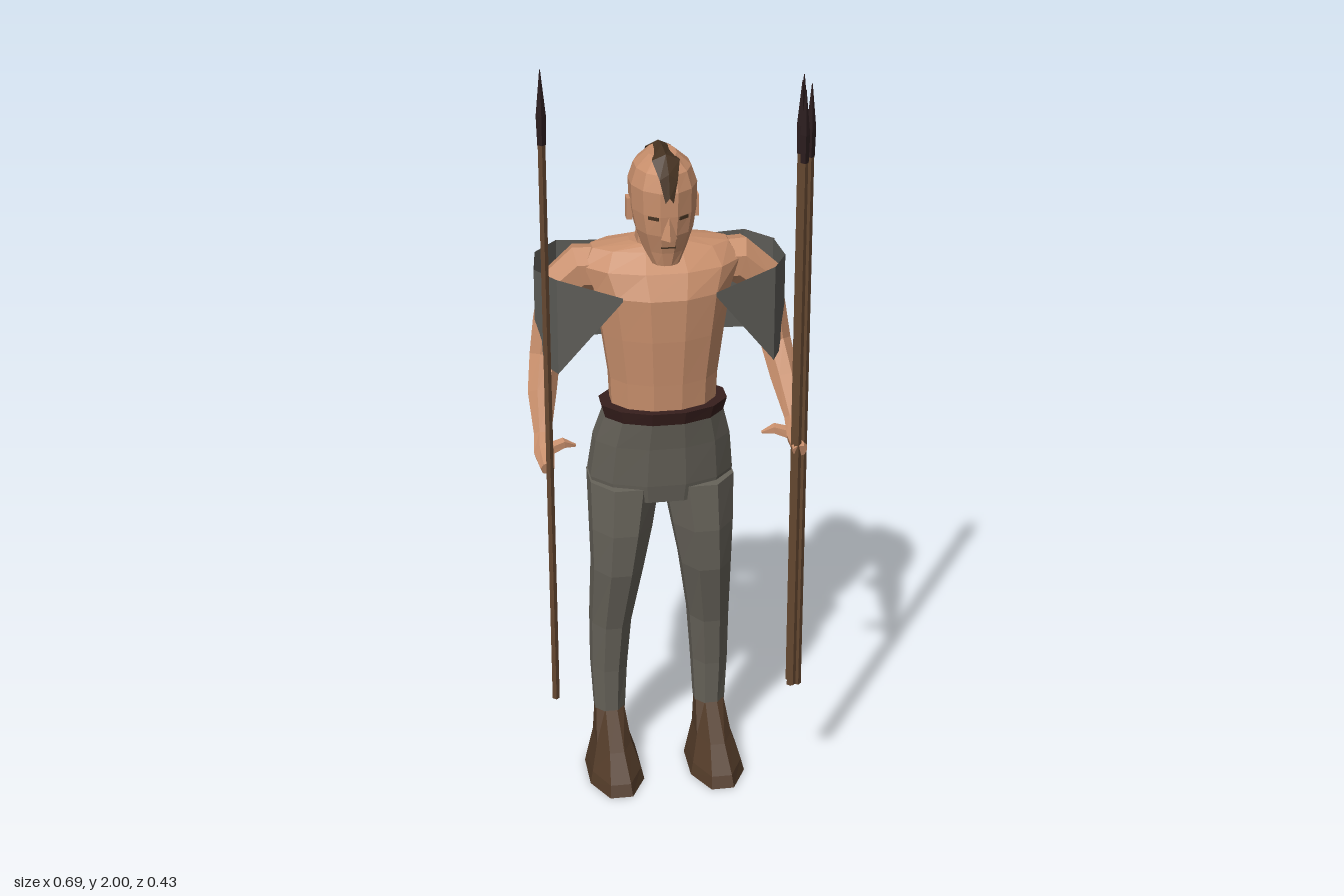
import * as THREE from 'three';

const mat = (name, color, extra = {}) => {
  const m = new THREE.MeshStandardMaterial({ color, flatShading: true, ...extra });
  m.name = name;
  return m;
};

// Low-poly loft: each ring is [x, y, z, radiusSide, radiusFront], set square to the path.
// level keeps rings horizontal; pick(ring, segment) chooses a material index per face.
function loft(rings, n, { level = false, offset = 0.5, pick = null } = {}) {
  const centres = rings.map(r => new THREE.Vector3(r[0], r[1], r[2]));
  const loops = rings.map((r, k) => {
    const t = level ? new THREE.Vector3(0, 1, 0)
      : centres[Math.min(k + 1, rings.length - 1)].clone().sub(centres[Math.max(k - 1, 0)]).normalize();
    const f = new THREE.Vector3(0, 0, 1).addScaledVector(t, -t.z).normalize();
    const s = t.clone().cross(f);
    return Array.from({ length: n }, (_, i) => {
      const a = (i - offset) / n * Math.PI * 2;
      return centres[k].clone().addScaledVector(s, r[3] * Math.sin(a)).addScaledVector(f, (r[4] ?? r[3]) * Math.cos(a));
    });
  });
  const pos = [], geo = new THREE.BufferGeometry();
  const tri = (a, b, c, m = 0) => {
    if (pick) geo.addGroup(pos.length / 3, 3, m);
    for (const p of [a, b, c]) pos.push(p.x, p.y, p.z);
  };
  const last = rings.length - 1;
  for (let i = 0; i < n; i++) {
    const j = (i + 1) % n;
    for (let k = 0; k < last; k++) {
      const m = pick ? pick(k, i) : 0;
      tri(loops[k][i], loops[k][j], loops[k + 1][j], m);
      tri(loops[k][i], loops[k + 1][j], loops[k + 1][i], m);
    }
    tri(loops[0][j], loops[0][i], centres[0]);
    tri(loops[last][i], loops[last][j], centres[last]);
  }
  return finish(geo, pos);
}

function finish(geo, pos) {
  geo.setAttribute('position', new THREE.Float32BufferAttribute(pos, 3));
  geo.computeVertexNormals();
  return geo;
}

// Open sheet joining two rows of points
function sheet(rowA, rowB) {
  const pos = [];
  for (let i = 0; i < rowA.length - 1; i++) {
    pos.push(...rowA[i], ...rowB[i], ...rowB[i + 1], ...rowA[i], ...rowB[i + 1], ...rowA[i + 1]);
  }
  return finish(new THREE.BufferGeometry(), pos);
}

export function createModel() {
  const root = new THREE.Group();
  const skin = mat('skin', 0xc88f6c);
  const cloth = mat('trouser cloth', 0x67635a);
  const wrap = mat('shoulder wrap grey', 0x5d5c57, { side: THREE.DoubleSide });
  const patchBrown = mat('patch brown', 0x4a352a, { side: THREE.DoubleSide });
  const boot = mat('boot leather', 0x503927);
  const beltMat = mat('belt leather', 0x371f1d);
  const wood = mat('spear wood', 0x644730);
  const iron = mat('spear tip', 0x2b1d1e);
  const hair = mat('hair', 0x463322, { side: THREE.DoubleSide });

  const add = (name, geo, material, parent = root) => {
    const m = new THREE.Mesh(geo, material);
    m.name = name;
    parent.add(m);
    return m;
  };
  const level = { level: true };

  // Torso and neck
  add('torso', loft([
    [0, 1.04, -0.02, 0.135, 0.092], [0, 1.15, -0.02, 0.14, 0.098], [0, 1.27, -0.025, 0.157, 0.112],
    [0, 1.38, -0.032, 0.175, 0.122], [0, 1.44, -0.05, 0.2, 0.11], [0, 1.48, -0.065, 0.175, 0.075],
    [0, 1.495, -0.06, 0.08, 0.055]], 12, level), skin);
  add('neck', loft([[0, 1.43, -0.06, 0.085, 0.062], [0, 1.48, -0.05, 0.068, 0.062],
    [0, 1.57, -0.045, 0.055, 0.06]], 8, level), skin);

  // Head, with hair patches behind the ears
  const head = new THREE.Group();
  head.name = 'head';
  root.add(head);
  add('skull', loft([
    [0, 1.465, 0.03, 0.035, 0.035], [0, 1.5, 0.005, 0.055, 0.067], [0, 1.55, 0, 0.072, 0.087],
    [0, 1.6, -0.015, 0.082, 0.107], [0, 1.66, -0.02, 0.084, 0.112], [0, 1.7, -0.022, 0.07, 0.098],
    [0, 1.73, -0.025, 0.035, 0.06]], 12,
    { level: true, pick: (k, i) => ((k === 2 || k === 3) && (i === 4 || i === 8) ? 1 : 0) }), [skin, hair], head);
  const strip = [[0.094, 1.645, 0.01], [0.08, 1.7, 0.022], [0.035, 1.735, 0.034], [-0.03, 1.738, 0.018],
    [-0.085, 1.73, 0.032], [-0.128, 1.69, 0.03], [-0.14, 1.63, 0.012]];
  const ridge = strip.map(([z, y]) => [0, y + 0.006, z * 1.02]);
  for (const s of [1, -1]) {
    const edge = strip.map(([z, y, w]) => [s * w, y - 0.008, z]);
    add('hairCrest', s > 0 ? sheet(ridge, edge) : sheet(edge, ridge), hair, head);
    // Eyes and ears
    const eye = add('eye', new THREE.BoxGeometry(0.028, 0.008, 0.006), hair, head);
    eye.position.set(s * 0.036, 1.595, 0.077);
    eye.rotation.y = s * 0.64;
    const ear = add('ear', new THREE.BoxGeometry(0.014, 0.055, 0.03), skin, head);
    ear.position.set(s * 0.082, 1.59, -0.025);
  }
  const nose = add('nose', new THREE.ConeGeometry(0.02, 0.065, 4), skin, head);
  nose.position.set(0, 1.575, 0.086);
  const mouth = add('mouth', new THREE.BoxGeometry(0.036, 0.005, 0.006), hair, head);
  mouth.position.set(0, 1.517, 0.072);

  // Belt and hips
  add('belt', loft([[0, 1.045, -0.015, 0.155, 0.1], [0, 1.08, -0.015, 0.165, 0.11]], 12, level), beltMat);
  add('hips', loft([[0, 0.81, -0.06, 0.175, 0.105], [0, 0.86, -0.065, 0.19, 0.12],
    [0, 0.97, -0.04, 0.178, 0.108], [0, 1.055, -0.015, 0.155, 0.098]], 12, level), cloth);

  for (const s of [1, -1]) {
    const side = s > 0 ? 'left' : 'right';
    // Leg, ankle and boot
    add(side + 'TrouserLeg', loft([
      [s * 0.135, 0.15, -0.08, 0.043, 0.05], [s * 0.135, 0.28, -0.087, 0.05, 0.066],
      [s * 0.13, 0.42, -0.082, 0.056, 0.08], [s * 0.115, 0.6, -0.048, 0.07, 0.094],
      [s * 0.105, 0.72, -0.05, 0.084, 0.108], [s * 0.095, 0.85, -0.063, 0.097, 0.118]], 8, level), cloth);
    add(side + 'Ankle', loft([[s * 0.135, 0.1, -0.085, 0.035, 0.04], [s * 0.135, 0.2, -0.088, 0.036, 0.045]], 6, level), skin);
    add(side + 'Boot', loft([
      [s * 0.135, 0, 0.012, 0.078, 0.15], [s * 0.135, 0.03, 0.005, 0.07, 0.142],
      [s * 0.135, 0.085, -0.03, 0.05, 0.105], [s * 0.135, 0.16, -0.083, 0.04, 0.046]], 8, level), boot);

    // Arm running from the shoulder to a closed hand, and the thumb
    add(side + 'Arm', loft([
      [s * 0.1, 1.42, -0.065, 0.058], [s * 0.2, 1.42, -0.075, 0.062], [s * 0.253, 1.375, -0.073, 0.056],
      [s * 0.275, 1.29, -0.066, 0.046], [s * 0.293, 1.2, -0.05, 0.04], [s * 0.308, 1.12, 0.005, 0.037],
      [s * 0.316, 1.04, 0.075, 0.022], [s * 0.317, 1.01, 0.12, 0.026], [s * 0.315, 0.995, 0.175, 0.018]], 7), skin);
    add(side + 'Thumb', loft([[s * 0.315, 1.005, 0.1, 0.018], [s * 0.265, 1.02, 0.09, 0.014],
      [s * 0.235, 1.01, 0.087, 0.004]], 5), skin);
  }

  // Shoulder wrap: columns of [x, top, bottom, z] from front flap to the middle of the back
  const half = [[0.115, 1.4, 1.39, 0.095], [0.27, 1.44, 1.19, 0.05], [0.315, 1.43, 1.19, -0.05],
    [0.302, 1.44, 1.18, -0.14], [0.24, 1.44, 1.17, -0.212], [0.085, 1.43, 1.175, -0.215]];
  const cols = [...half, [0, 1.42, 1.18, -0.178], ...half.slice().reverse().map(([x, ...r]) => [-x, ...r])];
  add('shoulderWrap', sheet(cols.map(c => [c[0], c[1], c[3]]), cols.map(c => [c[0], c[2], c[3]])), wrap);
  add('wrapPatch', finish(new THREE.BufferGeometry(),
    [0.306, 1.438, -0.142, 0.243, 1.438, -0.216, 0.272, 1.24, -0.18]), patchBrown);

  // Spears: one in the right hand, a bundle of four in the left
  const spear = (name, x, y0, z0, y1, z1) => {
    const g = new THREE.Group();
    g.name = name;
    root.add(g);
    const at = (y, r) => [x, y, z0 + (z1 - z0) * (y - y0) / (y1 - y0), r];
    add('shaft', loft([at(y0, 0.009), at(y1 - 0.17, 0.009)], 4, { offset: 0 }), wood, g);
    add('spearTip', loft([at(y1 - 0.18, 0.01), at(y1 - 0.11, 0.012), at(y1, 0.001)], 4, { offset: 0 }), iron, g);
  };
  spear('rightSpear', -0.31, 0.36, 0.21, 2, 0.135);
  [[0.31, 0.146, 1.96], [0.327, 0.157, 1.94], [0.31, 0.17, 1.93], [0.304, 0.158, 1.95]]
    .forEach(([x, z, top], i) => spear('leftSpear', x, 0.305 + i * 0.008, z + 0.004, top, z - 0.002));
  return root;
}
